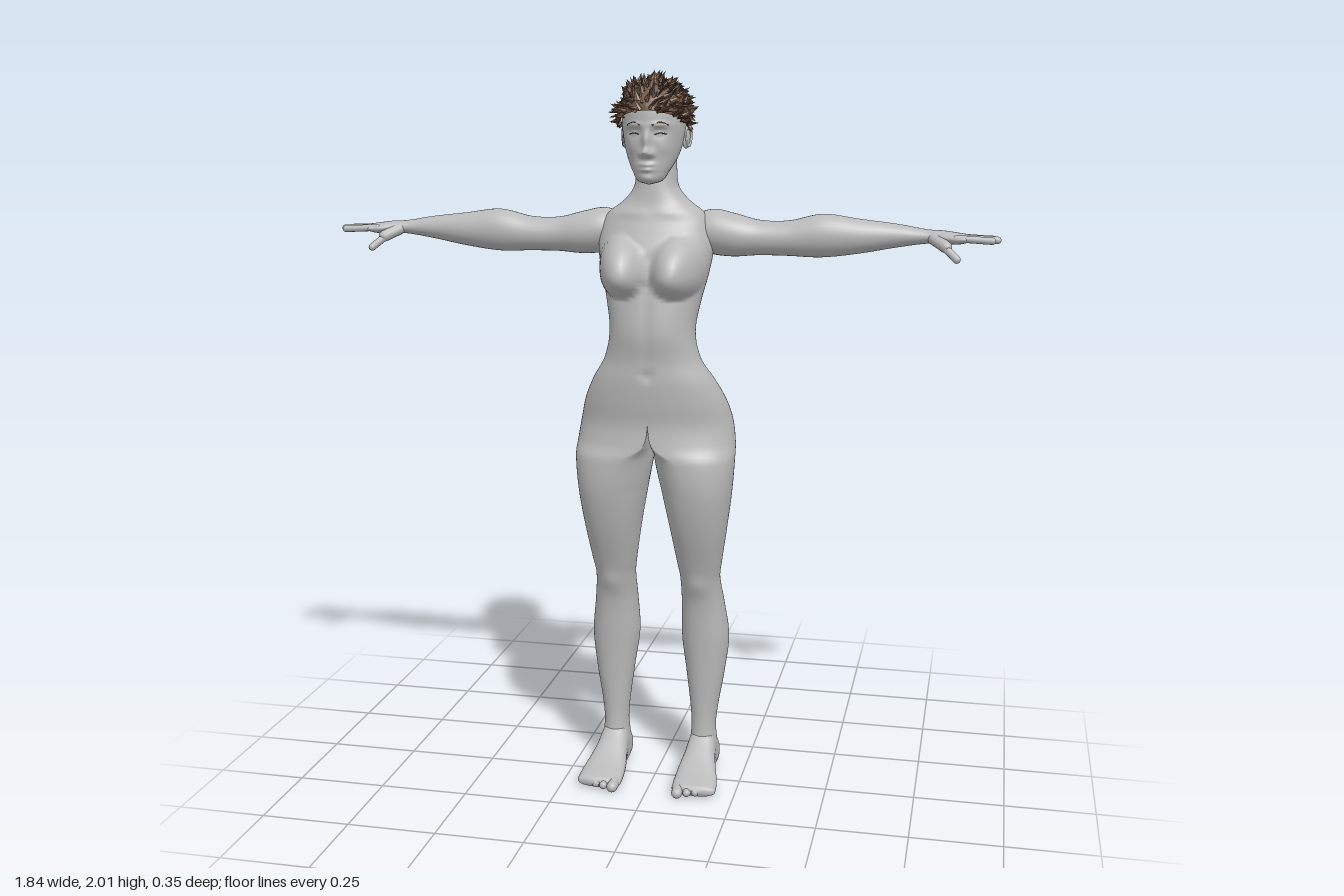
import * as THREE from 'three';
import { mergeGeometries } from 'three/addons/utils/BufferGeometryUtils.js';

const V = (x, y, z) => new THREE.Vector3(x, y, z);
const lerp = THREE.MathUtils.lerp, clamp = THREE.MathUtils.clamp;
const soft = (v, e) => Math.sign(v) * Math.abs(v) ** e;
const gauss = (x, y, [cx, cy, sx, sy, amp]) => amp * Math.exp(-(((x - cx) / sx) ** 2) - ((y - cy) / sy) ** 2);

// Smooth interpolation of a table of sections, keyed by the first column
function sample(rows, t) {
  let i = 0;
  while (i < rows.length - 2 && rows[i + 1][0] < t) i++;
  const p0 = rows[Math.max(i - 1, 0)], p1 = rows[i], p2 = rows[i + 1], p3 = rows[Math.min(i + 2, rows.length - 1)];
  const h = p2[0] - p1[0], s = clamp((t - p1[0]) / h, 0, 1);
  return p1.map((a, c) => {
    const m1 = h * (p2[c] - p0[c]) / (p2[0] - p0[0]), m2 = h * (p3[c] - p1[c]) / (p3[0] - p1[0]);
    return a * (2 * s ** 3 - 3 * s * s + 1) + m1 * (s ** 3 - 2 * s * s + s) + p2[c] * (3 * s * s - 2 * s ** 3) + m2 * (s ** 3 - s * s);
  });
}

const flip = (g) => {
  const a = g.index.array;
  for (let i = 0; i < a.length; i += 3) [a[i], a[i + 1]] = [a[i + 1], a[i]];
  return g;
};

// Skin of rings: point(angle, v), closed around the angle, always facing outwards
function skin(nu, nv, point) {
  const pts = [], pos = [], idx = [];
  for (let j = 0; j <= nv; j++) for (let i = 0; i < nu; i++) pts.push(point(i / nu * Math.PI * 2, j / nv));
  pts.forEach((p) => pos.push(p.x, p.y, p.z));
  for (let j = 0; j < nv; j++) for (let i = 0; i < nu; i++) {
    const a = j * nu + i, b = j * nu + (i + 1) % nu;
    idx.push(a, b, a + nu, b, b + nu, a + nu);
  }
  const mid = pts.reduce((s, p) => s.add(p), V(0, 0, 0)).divideScalar(pts.length), q = V(0, 0, 0);
  let volume = 0;
  for (let i = 0; i < idx.length; i += 3) {
    const [a, b, c] = [0, 1, 2].map((k) => pts[idx[i + k]].clone().sub(mid));
    volume += a.dot(q.crossVectors(b, c));
  }
  const g = new THREE.BufferGeometry();
  g.setAttribute('position', new THREE.Float32BufferAttribute(pos, 3));
  g.setIndex(idx);
  if (volume < 0) flip(g);
  g.computeVertexNormals();
  return g;
}

// Loft of rounded sections [key, a0, a1, b0, b1]
const loft = (rows, nu, nv, power, place) => skin(nu, nv, (u, v) => {
  const [k, a0, a1, b0, b1] = sample(rows, lerp(rows[0][0], rows.at(-1)[0], (1 - Math.cos(Math.PI * v)) / 2));
  return place(k, (a0 + a1) / 2 + (a1 - a0) / 2 * soft(Math.cos(u), power), (b0 + b1) / 2 + (b1 - b0) / 2 * soft(Math.sin(u), power));
});

// Half body: y, inner x, outer x, front z, back z, front join, back join (1 = joined at the middle)
const BODY = [
  [0.005, .1, .16, -.03, -.1, 0, 0], [.03, .09, .172, -.02, -.118, 0, 0], [.09, .092, .17, -.02, -.117, 0, 0],
  [.14, .096, .166, -.024, -.112, 0, 0], [.2, .092, .172, -.024, -.12, 0, 0], [.31, .078, .19, -.018, -.138, 0, 0],
  [.41, .065, .2, -.01, -.153, 0, 0], [.52, .067, .188, .002, -.13, 0, 0], [.6, .067, .18, .022, -.098, 0, 0],
  [.65, .06, .187, .04, -.09, 0, 0], [.76, .042, .204, .08, -.095, 0, 0], [.865, .022, .218, .105, -.1, 0, 0],
];
BODY.push(
  [.96, .004, .225, .112, -.108, .3, 0], [1, 0, .223, .108, -.142, .85, .2], [1.06, 0, .214, .103, -.157, 1, .4],
  [1.12, 0, .198, .111, -.13, 1, .8], [1.18, 0, .17, .117, -.088, 1, 1], [1.24, 0, .134, .118, -.054, 1, 1],
  [1.315, 0, .118, .128, -.06, 1, 1], [1.4, 0, .13, .12, -.092, 1, 1], [1.46, 0, .145, .108, -.108, 1, 1],
  [1.53, 0, .158, .095, -.115, 1, 1], [1.58, 0, .155, .075, -.113, 1, 1], [1.63, 0, .135, .055, -.1, 1, 1],
  [1.665, 0, .09, .045, -.09, 1, 1], [1.7, 0, .062, .04, -.078, 1, 1], [1.74, 0, .056, .035, -.07, 1, 1],
  [1.82, 0, .055, .03, -.065, 1, 1]);
const FRONT_BUMPS = [[0, 1.2, .012, .014, -.008], [.125, .585, .03, .03, .006], [.06, 1.635, .05, .01, .005], [0, 1.34, .012, .12, -.005]];
const BACK_BUMPS = [[0, 1.38, .022, .16, .012], [.085, 1.52, .035, .05, -.008]];

function halfBody() {
  const g = skin(72, 190, (u, v) => {
    const [y, xi, xo, zf, zb, tf, tb] = sample(BODY, lerp(.005, 1.82, v));
    const c = soft(Math.cos(u), .92), s = soft(Math.sin(u), .92), inner = Math.max(0, xi);
    const t = clamp(s >= 0 ? tf : tb, 0, 1);
    const x = lerp((inner + xo) / 2 + (xo - inner) / 2 * c, xo * Math.max(0, c), t);
    let z = (zf + zb) / 2 + (zf - zb) / 2 * s;
    const fade = Math.min(1, Math.abs(s) * 3);
    (s > 0 ? FRONT_BUMPS : BACK_BUMPS).forEach((b) => { z += fade * gauss(x, y, b); });
    const r = ((x - .08) / .07) ** 2 + ((y - 1.475) / (y > 1.475 ? .1 : .064)) ** 2;
    if (s > 0 && r < 1) z += .08 * fade * (1 - r) ** .8;
    return V(x, y, z);
  });
  // Level the shading along the middle so both halves join smoothly
  const p = g.attributes.position, n = g.attributes.normal;
  for (let i = 0; i < p.count; i++) if (Math.abs(p.getX(i)) < 1e-4) {
    const l = Math.hypot(n.getY(i), n.getZ(i)) || 1;
    n.setXYZ(i, 0, n.getY(i) / l, n.getZ(i) / l);
  }
  return g;
}

const ARM = [[.08, 1.62, 1.54, -.09, 0], [.15, 1.642, 1.52, -.11, .018], [.21, 1.632, 1.515, -.105, .02], [.28, 1.615, 1.52, -.09, .01],
  [.36, 1.615, 1.52, -.088, .01], [.45, 1.634, 1.518, -.088, .014], [.55, 1.622, 1.53, -.085, .005], [.65, 1.61, 1.548, -.08, -.01],
  [.73, 1.597, 1.56, -.073, -.015], [.77, 1.595, 1.56, -.08, -.003], [.81, 1.59, 1.56, -.083, .007], [.835, 1.585, 1.566, -.078, .003], [.842, 1.576, 1.574, -.04, -.036]];
const FOOT = [[-.12, .12, .145, .02, .045], [-.105, .092, .172, .002, .09], [-.05, .09, .172, 0, .13], [0, .085, .178, .004, .1],
  [.04, .078, .188, .005, .073], [.08, .075, .197, .003, .052], [.115, .075, .2, .001, .04], [.135, .082, .193, .004, .032], [.142, .12, .15, .015, .022]];

// Head sections: y, half width as a pair, back z, front z
const HEAD = [[1.712, 0, .06, .08], [1.72, .03, .03, .096], [1.745, .048, 0, .104], [1.78, .066, -.045, .105], [1.82, .078, -.075, .108],
  [1.87, .085, -.092, .113], [1.92, .083, -.096, .108], [1.95, .066, -.078, .085], [1.968, .04, -.05, .055], [1.975, 0, -.002, .002]]
  .map(([y, w, zb, zf]) => [y, -w, w, zb, zf]);
const FACE_BUMPS = [[0, 1.825, .01, .026, .016], [0, 1.797, .013, .011, .024], [.013, 1.792, .008, .007, .01], [0, 1.765, .02, .006, .008],
  [0, 1.752, .017, .006, .008], [0, 1.728, .018, .012, .006], [.034, 1.848, .018, .012, -.01], [.034, 1.846, .01, .007, .007],
  [.035, 1.868, .022, .007, .006], [.045, 1.81, .02, .02, .004]];
const faceRelief = (x, y) => FACE_BUMPS.reduce((sum, b) => sum + gauss(Math.abs(x), y, b), 0);
const headPoint = (u, y) => {
  const [, , w, zb, zf] = sample(HEAD, y);
  return V(Math.max(0, w) * Math.cos(u), y, (zf + zb) / 2 + (zf - zb) / 2 * Math.sin(u));
};
const onFace = (x, y) => V(x, y, headPoint(Math.acos(x / sample(HEAD, y)[2]), y).z + faceRelief(x, y));

const capPoint = (u, v) => {
  const p = headPoint(u, lerp(1.86 + .045 * Math.sin(u), 1.975, Math.sin(v * Math.PI / 2)));
  return V(p.x * 1.09, p.y + .012 * v, (p.z - .01) * 1.08 + .01);
};

function facet(g) {
  const f = g.toNonIndexed();
  f.computeVertexNormals();
  return f;
}

// Rounded finger or toe between two points
function digit(a, b, r) {
  const d = b.clone().sub(a), g = new THREE.CapsuleGeometry(r, Math.max(d.length() - r, .001), 5, 12);
  g.applyQuaternion(new THREE.Quaternion().setFromUnitVectors(V(0, 1, 0), d.normalize()));
  const m = a.clone().add(b).multiplyScalar(.5);
  return g.translate(m.x, m.y, m.z);
}

export function createModel() {
  const model = new THREE.Group();
  const mat = (name, color) => Object.assign(new THREE.MeshStandardMaterial({ color }), { name });
  const grey = mat('body grey', 0xbababa), brown = mat('hair brown', 0x6b5040), dark = mat('hair dark brown', 0x4b392e), light = mat('hair light brown', 0x8a6850);
  const add = (name, g, m) => {
    const mesh = new THREE.Mesh(g, m);
    mesh.name = name;
    model.add(mesh);
  };
  const pair = (name, g, m = grey) => {
    add(name + 'Left', g, m);
    add(name + 'Right', flip(g.clone().scale(-1, 1, 1)), m);
  };

  // Body, arms and feet
  pair('torsoAndLeg', halfBody());
  pair('arm', loft(ARM, 36, 90, 1, (x, y, z) => V(x, y, z)));
  pair('foot', loft(FOOT, 32, 40, .8, (z, x, y) => V(x, y, z)));

  // Fingers: root z, tip x, tip z
  const fingers = [[-.068, .875, -.078, .0085], [-.047, .905, -.053, .0095], [-.025, .915, -.027, .0098], [-.004, .902, .002, .0095]]
    .map(([z, tx, tz, r]) => digit(V(.8, 1.578, z), V(tx, 1.573, tz), r));
  pair('fingers', mergeGeometries(fingers));
  pair('thumb', mergeGeometries([digit(V(.74, 1.577, -.028), V(.785, 1.553, .012), .016), digit(V(.775, 1.556, .008), V(.812, 1.523, .032), .0105)]));

  // Toes, largest on the inner side
  const toes = [.092, .119, .142, .163, .183].map((x, i) =>
    digit(V(x, .02, .115 - i * .009), V(x + .003, .014, .157 - i * .009), i ? .0115 : .0155));
  pair('toes', mergeGeometries(toes));

  // Head with modelled face, ears, brows and lashes
  add('head', loft(HEAD, 112, 100, 1, (y, x, z) => V(x, y, z + (z > .03 ? faceRelief(x, y) : 0))), grey);
  const ear = new THREE.SphereGeometry(1, 16, 12).scale(.008, .031, .018).rotateY(-.35).rotateX(-.15).translate(.083, 1.835, -.006);
  const rim = new THREE.TorusGeometry(.02, .004, 8, 20).scale(.75, 1.3, 1).rotateY(Math.PI / 2 - .35).translate(.089, 1.838, -.008);
  pair('ear', mergeGeometries([ear, rim]));
  const line = (pts, r) => new THREE.TubeGeometry(new THREE.CatmullRomCurve3(pts.map(([x, y]) => onFace(x, y))), 16, r, 6);
  pair('eyebrow', line([[.016, 1.867], [.036, 1.875], [.055, 1.868]], .0018), brown);
  pair('eyelash', line([[.02, 1.843], [.034, 1.847], [.05, 1.844]], .0014), dark);

  // Hair cap and ponytail
  add('hairCap', facet(skin(40, 14, capPoint)), brown);
  const tail = new THREE.CatmullRomCurve3([V(0, 1.92, -.08), V(0, 1.87, -.1), V(0, 1.81, -.12), V(0, 1.75, -.148), V(0, 1.68, -.163), V(0, 1.55, -.17)]);
  const tailRadius = (v) => .04 * (1 - v) ** 1.3 + .001;
  const tailPoint = (u, v) => {
    const p = tail.getPoint(v), t = tail.getTangent(v), r = tailRadius(v);
    return p.add(V(r * Math.cos(u), 0, 0)).add(V(0, -t.z, t.y).multiplyScalar(.7 * r * Math.sin(u)));
  };
  add('ponytail', facet(skin(10, 24, tailPoint)), brown);

  // Pointed locks swept back over the cap and down the ponytail
  let seed = 7;
  const rnd = () => (seed = seed * 16807 % 2147483647) / 2147483647;
  const locks = [[], [], []], gather = V(0, 1.8, -.17);
  const lock = (p, dir, h, r) => {
    const g = new THREE.ConeGeometry(r, h, 4).translate(0, h / 2, 0).scale(1, 1, .4).rotateY(rnd() * 6.3);
    g.applyQuaternion(new THREE.Quaternion().setFromUnitVectors(V(0, 1, 0), dir.normalize())).translate(p.x, p.y, p.z);
    locks[Math.floor(rnd() * 3)].push(g);
  };
  const jitter = (s) => V(rnd() - .5, rnd() - .5, rnd() - .5).multiplyScalar(s);
  for (let i = 0; i < 560; i++) {
    const p = capPoint(rnd() * Math.PI * 2, rnd() ** 1.2 * .95), n = p.clone().sub(V(0, 1.86, .01)).normalize();
    const back = gather.clone().sub(p);
    back.addScaledVector(n, -back.dot(n)).normalize();
    lock(p, back.addScaledVector(n, .38).add(jitter(.9)), .022 + rnd() * .018, .008);
  }
  for (let i = 0; i < 120; i++) {
    const v = rnd() * .75;
    lock(tailPoint(rnd() * Math.PI * 2, v), tail.getTangent(v).add(jitter(.3)), .045, .004 + .006 * (1 - v));
  }
  [brown, dark, light].forEach((m, i) => add('hairLocks' + (i + 1), facet(mergeGeometries(locks[i])), m));
  return model;
}
